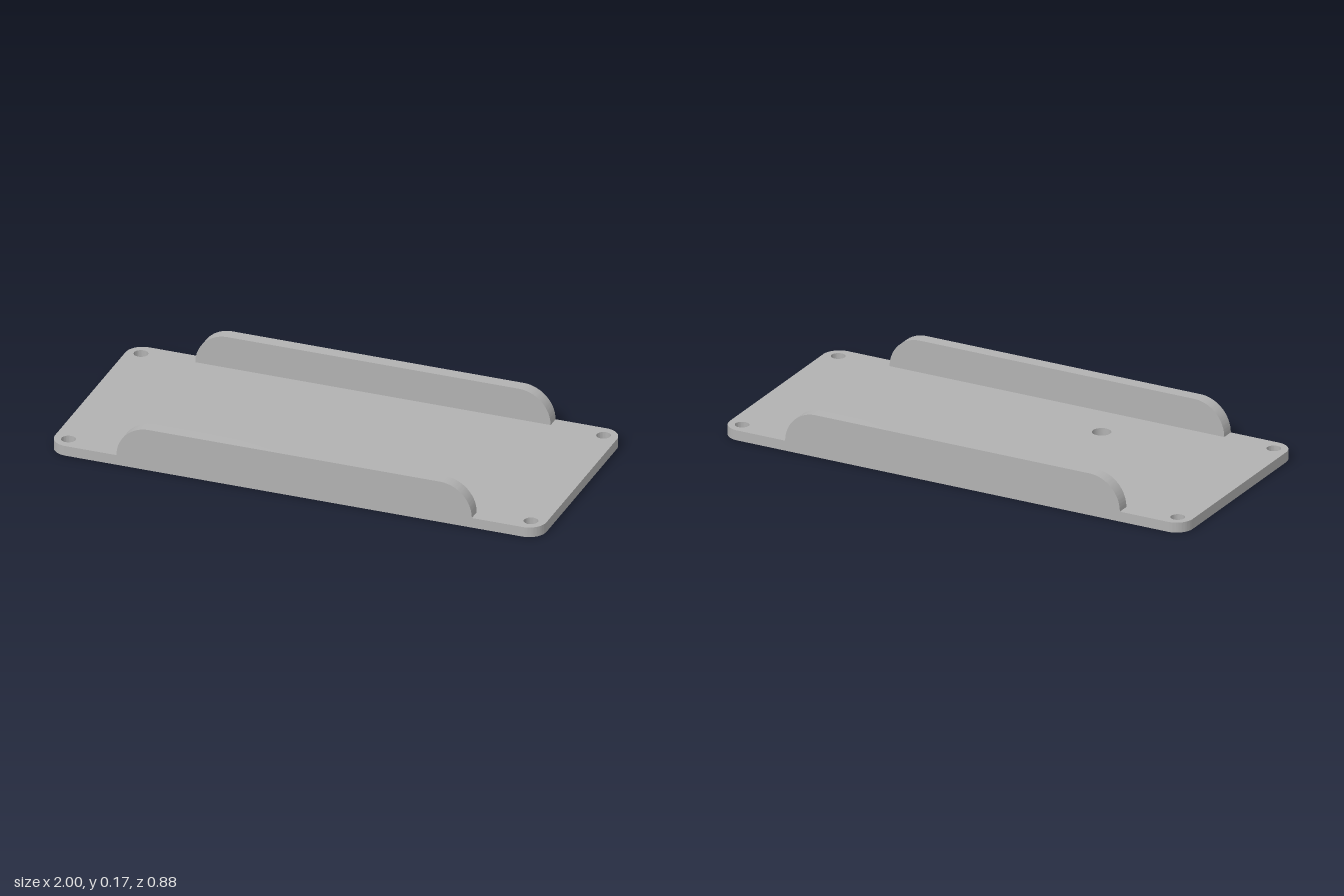
import * as THREE from 'three';
import { toCreasedNormals } from 'three/addons/utils/BufferGeometryUtils.js';

const HALF_X = 1, HALF_Z = 0.44, BASE_H = 0.041, CORNER_R = 0.07;
const FLANGE_X = 0.723, FLANGE_TOP = 0.172, FLANGE_T = 0.052;

// Extrude a shape and smooth only its curved walls
function extrude(shape, depth) {
  const geometry = new THREE.ExtrudeGeometry(shape, { depth, bevelEnabled: false, curveSegments: 16 });
  return toCreasedNormals(geometry, Math.PI / 6);
}

function addHole(shape, x, z, radius) {
  const hole = new THREE.Path();
  hole.absarc(x, -z, radius, 0, Math.PI * 2, true);
  shape.holes.push(hole);
}

// Rounded plate with four corner screw holes and one off-centre hole
function baseGeometry() {
  const cx = HALF_X - CORNER_R, cz = HALF_Z - CORNER_R;
  const shape = new THREE.Shape();
  [[cx, cz], [-cx, cz], [-cx, -cz], [cx, -cz]].forEach(([x, y], i) => {
    shape.absarc(x, y, CORNER_R, i * Math.PI / 2, (i + 1) * Math.PI / 2, false);
  });
  shape.closePath();
  for (const sx of [-1, 1]) for (const sz of [-1, 1]) addHole(shape, sx * 0.941, sz * 0.381, 0.028);
  addHole(shape, -0.29, 0.21, 0.037);
  return extrude(shape, BASE_H).rotateX(-Math.PI / 2);
}

// Upright side wall with quarter-round ends
function flangeGeometry() {
  const r = FLANGE_TOP - BASE_H, cx = FLANGE_X - r;
  const shape = new THREE.Shape();
  shape.moveTo(-FLANGE_X, BASE_H);
  shape.lineTo(FLANGE_X, BASE_H);
  shape.absarc(cx, BASE_H, r, 0, Math.PI / 2, false);
  shape.absarc(-cx, BASE_H, r, Math.PI / 2, Math.PI, false);
  return extrude(shape, FLANGE_T);
}

export function createModel() {
  const model = new THREE.Group();
  model.name = 'mountingPlate';
  const grey = new THREE.MeshStandardMaterial({ color: 0xb2b2b2 });
  grey.name = 'plain grey';

  const add = (name, geometry, z = 0) => {
    const mesh = new THREE.Mesh(geometry, grey);
    mesh.name = name;
    mesh.position.z = z;
    model.add(mesh);
  };

  add('basePlate', baseGeometry());
  const flange = flangeGeometry();
  add('frontFlange', flange, HALF_Z - FLANGE_T);
  add('backFlange', flange, -HALF_Z);
  return model;
}
